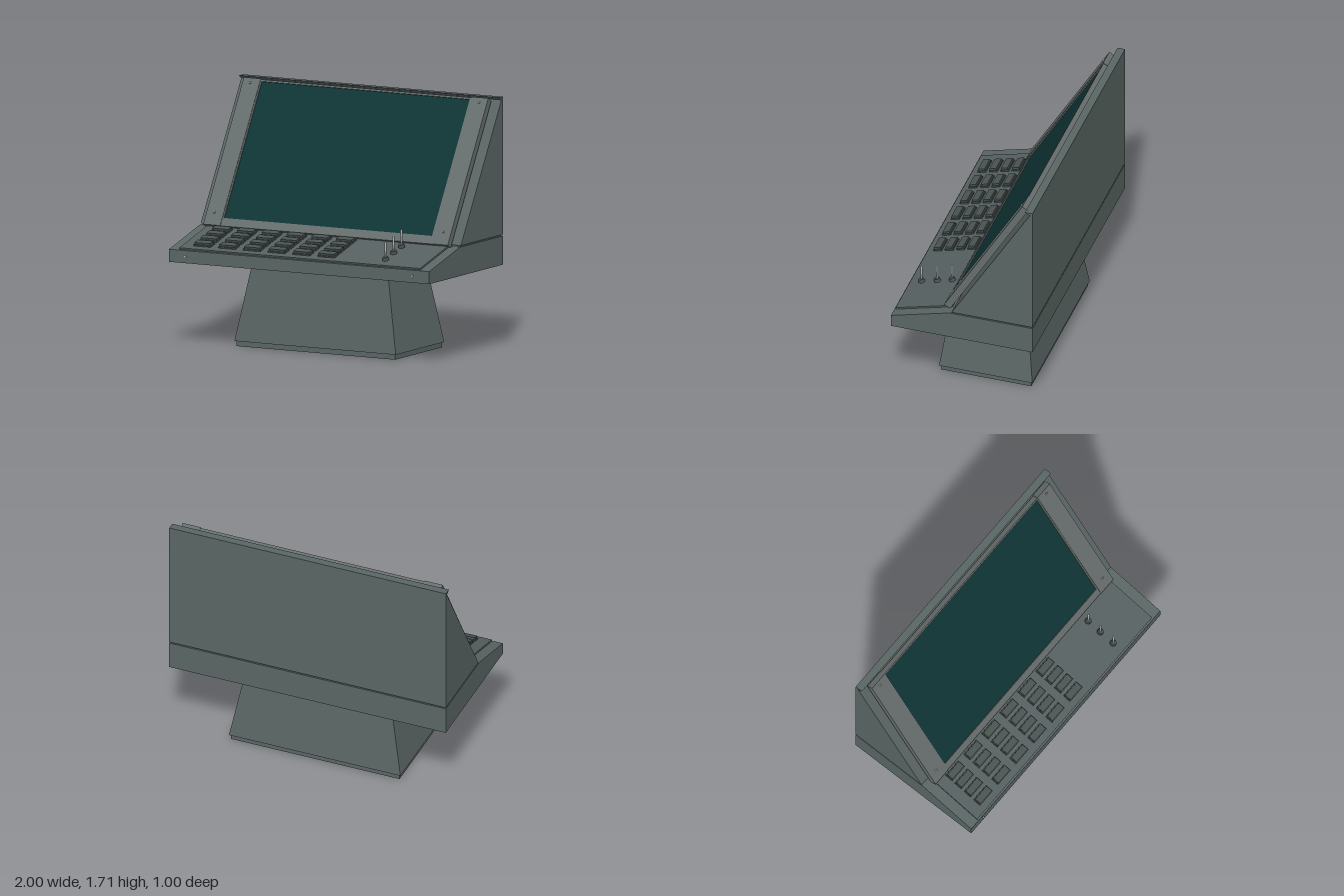
import * as THREE from 'three';

const material = (name, color) => {
  const m = new THREE.MeshStandardMaterial({ color });
  m.name = name;
  return m;
};

export function createModel() {
  const body = material('greyGreenCasing', 0x5a6664);
  const trim = material('lightGreyTrim', 0x676e6e);
  const panelGrey = material('controlPanelGrey', 0x566060);
  const keyGrey = material('keyGrey', 0x4a5452);
  const glass = material('darkTealScreen', 0x0f3535);
  const metal = material('brightMetal', 0xb4b6b2);

  const model = new THREE.Group();
  model.name = 'controlConsole';

  const add = (parent, name, geometry, mat, x = 0, y = 0, z = 0) => {
    const mesh = new THREE.Mesh(geometry, mat);
    mesh.name = name;
    mesh.position.set(x, y, z);
    parent.add(mesh);
    return mesh;
  };
  // Box given by its limits on each axis
  const block = (parent, name, mat, [x0, x1], [y0, y1], [z0, z1]) =>
    add(parent, name, new THREE.BoxGeometry(x1 - x0, y1 - y0, z1 - z0), mat,
      (x0 + x1) / 2, (y0 + y1) / 2, (z0 + z1) / 2);
  // Side profile of [z, y] points swept across the width
  const sideProfile = (points, width) => {
    const shape = new THREE.Shape(points.map(([z, y]) => new THREE.Vector2(-z, y)));
    const g = new THREE.ExtrudeGeometry(shape, { depth: width, bevelEnabled: false });
    return g.translate(0, 0, -width / 2).rotateY(Math.PI / 2);
  };

  // Plinth and tapered pedestal
  block(model, 'plinth', body, [-0.61, 0.61], [0, 0.036], [-0.365, 0.27]);
  const taper = new THREE.BoxGeometry(1, 0.535, 1);
  const p = taper.attributes.position;
  for (let i = 0; i < p.count; i++) {
    const top = p.getY(i) > 0;
    p.setX(i, Math.sign(p.getX(i)) * (top ? 0.52 : 0.62));
    p.setZ(i, -0.0475 + Math.sign(p.getZ(i)) * (top ? 0.2575 : 0.3275));
  }
  taper.computeVertexNormals();
  add(model, 'pedestal', taper, body, 0, 0.035 + 0.2675, 0);

  // Desk with a sloping front, shadow gap, and wedge housing with a top lip
  add(model, 'deskBody', sideProfile(
    [[0.495, 0.57], [0.495, 0.655], [0.085, 0.765], [-0.5, 0.765], [-0.5, 0.57]], 2), body);
  block(model, 'shadowGap', body, [-0.988, 0.988], [0.76, 0.78], [-0.488, 0.05]);
  add(model, 'screenHousing', sideProfile(
    [[0.068, 0.774], [-0.482, 1.687], [-0.472, 1.687], [-0.447, 1.705],
      [-0.5, 1.705], [-0.5, 0.774]], 2), body);

  // Small screw head facing +z
  const screwGeometry = new THREE.CylinderGeometry(0.007, 0.008, 0.012, 12).rotateX(Math.PI / 2);
  for (const side of [-1, 1]) {
    add(model, 'deskScrew', screwGeometry, metal, side * 0.873, 0.615, 0.497);
  }

  // Control panel, tilted along the desk slope
  const tilt = Math.atan2(0.11, 0.41);
  const along = (z) => (z - 0.495) / Math.cos(tilt);
  const controls = new THREE.Group();
  controls.name = 'controlPanel';
  controls.position.set(0, 0.655, 0.495);
  controls.rotation.x = tilt;
  model.add(controls);
  block(controls, 'panelPlate', panelGrey, [-0.925, 0.925], [-0.005, 0.012], [along(0.085), -0.012]);

  // Keys: six columns of four, each on a thin base
  for (let c = 0; c < 6; c++) {
    for (const z of [0.17, 0.249, 0.329, 0.41]) {
      const x = -0.776 + c * 0.1905;
      const zc = along(z);
      block(controls, 'keyBase', keyGrey, [x - 0.066, x + 0.066], [0.01, 0.022], [zc - 0.03, zc + 0.03]);
      block(controls, 'keyCap', keyGrey, [x - 0.06, x + 0.06], [0.022, 0.036], [zc - 0.024, zc + 0.024]);
    }
  }

  // Toggle switches with upright levers
  for (const z of [0.185, 0.29, 0.4]) {
    const toggle = new THREE.Group();
    toggle.name = 'toggleSwitch';
    toggle.position.set(0.613, 0.012, along(z));
    controls.add(toggle);
    add(toggle, 'switchCollar', new THREE.CylinderGeometry(0.019, 0.023, 0.022, 16), keyGrey, 0, 0.011, 0);
    const lever = new THREE.Group();
    lever.name = 'switchLever';
    lever.position.y = 0.012;
    lever.rotation.x = -tilt;
    toggle.add(lever);
    add(lever, 'leverRod', new THREE.CylinderGeometry(0.008, 0.006, 0.1, 12), metal, 0, 0.05, 0);
    add(lever, 'leverTip', new THREE.SphereGeometry(0.008, 12, 8), metal, 0, 0.1, 0);
  }

  // Display unit leaning back: local y runs up the slope, local z faces out
  const display = new THREE.Group();
  display.name = 'displayUnit';
  display.position.set(0, 0.782, 0.14);
  display.rotation.x = -Math.atan2(0.548, 0.92);
  model.add(display);

  const height = 1.071;
  const frame = new THREE.Shape([[-0.81, 0], [0.81, 0], [0.81, height - 0.004], [-0.81, height - 0.004]]
    .map(([x, y]) => new THREE.Vector2(x, y)));
  frame.holes.push(new THREE.Path([[-0.8, 0.058], [-0.8, 1.054], [0.8, 1.054], [0.8, 0.058]]
    .map(([x, y]) => new THREE.Vector2(x, y))));
  add(display, 'screenFrame',
    new THREE.ExtrudeGeometry(frame, { depth: 0.042, bevelEnabled: false }), trim, 0, 0, -0.046);
  block(display, 'screenBacking', body, [-0.81, 0.81], [0.002, height - 0.006], [-0.048, -0.018]);
  block(display, 'screenGlass', glass, [-0.8, 0.8], [0.058, 1.054], [-0.019, -0.011]);

  // Side rails with screws
  for (const side of [-1, 1]) {
    const rail = new THREE.Group();
    rail.name = side > 0 ? 'leftRail' : 'rightRail';
    display.add(rail);
    add(rail, 'railPlate', new THREE.BoxGeometry(0.13, height, 0.048), trim, side * 0.875, height / 2, -0.024);
    for (const y of [0.09, 1.035]) {
      add(rail, 'railScrew', screwGeometry, metal, side * 0.88, y, 0.003);
    }
  }

  return model;
}
